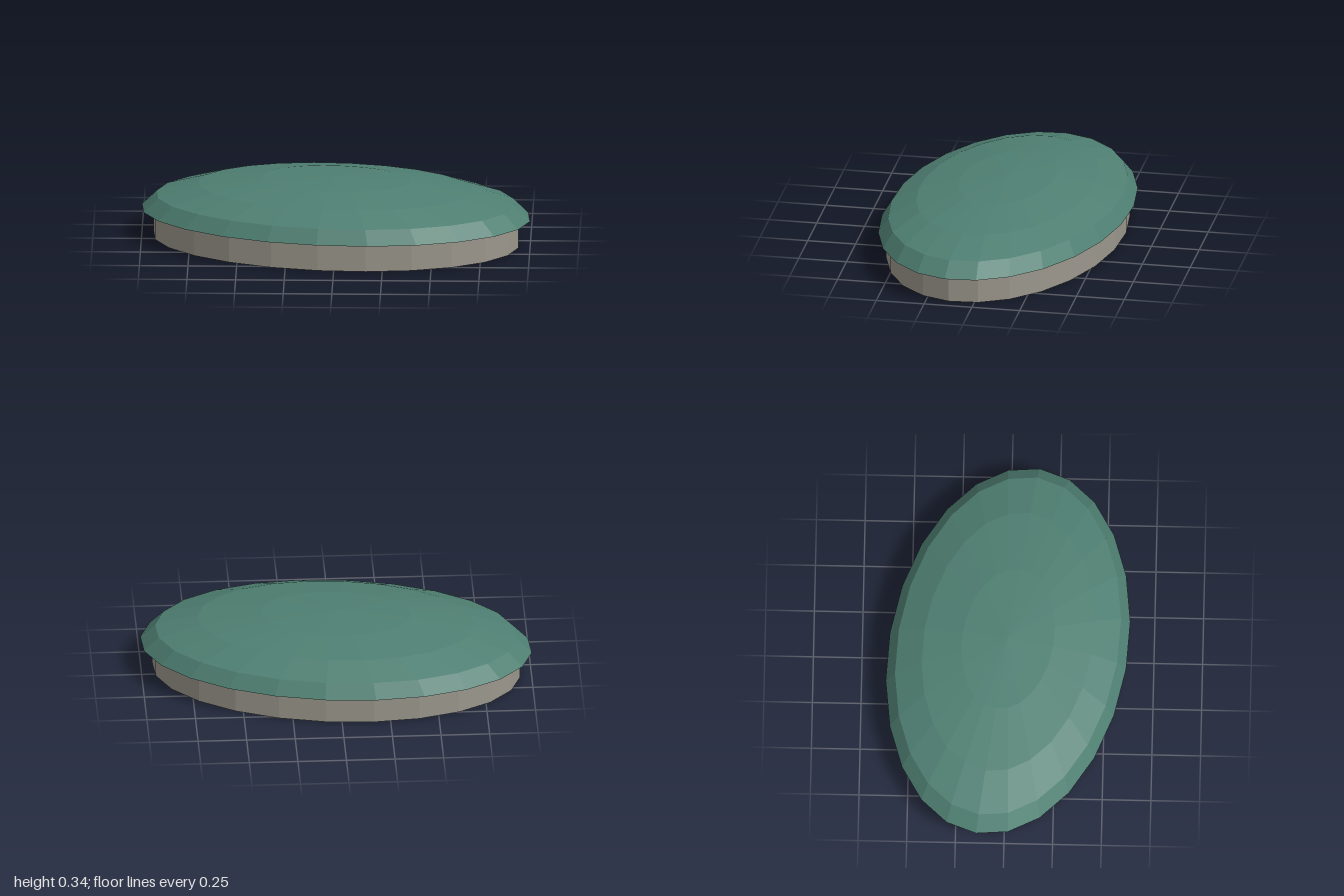
import * as THREE from 'three';

const SIDES = 24;
const RIM_Y = 0.145;   // height where the dome meets the base
const DOME_H = 0.197;
const BASE_R = 0.94;   // base radius relative to the dome rim

// Faceted turned part from [radius, height] pairs
function turned(name, profile, color) {
  const points = profile.map(([r, y]) => new THREE.Vector2(r, y));
  const material = new THREE.MeshStandardMaterial({ color, flatShading: true, side: THREE.DoubleSide });
  const mesh = new THREE.Mesh(new THREE.LatheGeometry(points, SIDES), material);
  mesh.name = name;
  return mesh;
}

export function createModel() {
  const model = new THREE.Group();
  model.name = 'ovalDome';

  // Both parts are round, then stretched to an oval and turned slightly
  const oval = new THREE.Group();
  oval.name = 'oval';
  oval.scale.set(1.01, 1, 0.615);
  oval.rotation.y = -0.142;
  model.add(oval);

  // Base wall, open below and closed by a ceiling
  oval.add(turned('baseWall', [[BASE_R, 0], [BASE_R, RIM_Y], [0, RIM_Y]], 0x9b978c));

  // Shallow dome with an overhanging rim and its underside
  const dome = [[BASE_R, RIM_Y]];
  for (let i = 0; i <= 4; i++) {
    const a = (i / 4) * Math.PI / 2;
    dome.push([i === 4 ? 0 : Math.cos(a), RIM_Y + DOME_H * Math.sin(a)]);
  }
  oval.add(turned('domeRoof', dome, 0x4f7f72));

  return model;
}
